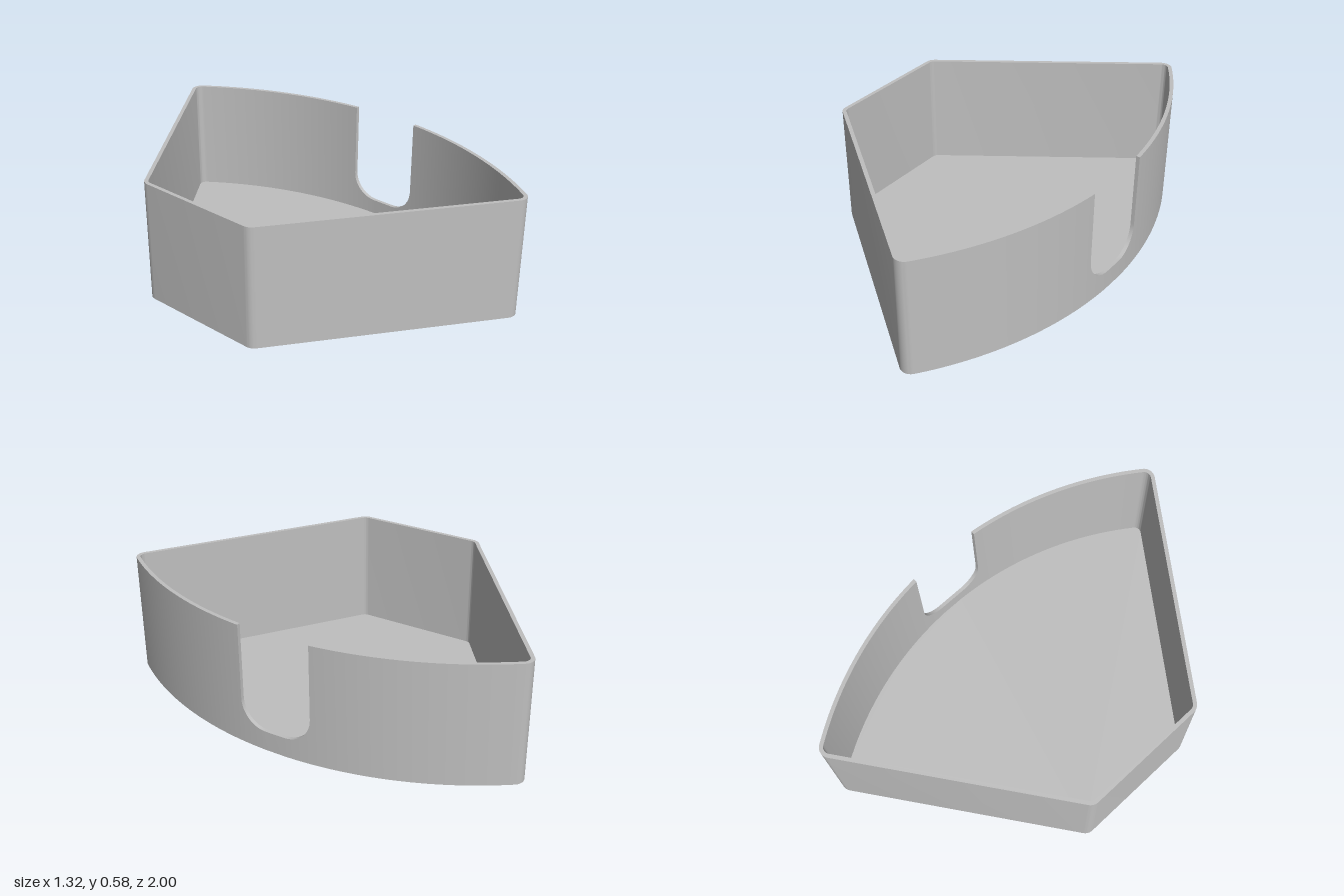
import * as THREE from 'three';
import { toCreasedNormals } from 'three/addons/utils/BufferGeometryUtils.js';

const HEIGHT = 0.576, WALL = 0.018, FLOOR = 0.022;
const FRONT = { x: -1.011, r: 1.669 };                 // large curved side
const NOTCH = { flat: 0.05, radius: 0.125, y: 0.095 }; // U-shaped cut-out

// Stations around the tray: outer and inner [x, z], and the height of the rim there
function buildStations() {
  const stations = [];
  const addNotch = (z, top) => stations.push({
    outer: [FRONT.x + Math.sqrt(FRONT.r ** 2 - z * z), z],
    inner: [FRONT.x + Math.sqrt((FRONT.r - WALL) ** 2 - z * z), z],
    top,
  });
  const addArc = (cx, cz, r, a0, a1, n) => {
    for (let i = 0; i <= n; i++) {
      const a = a0 + (a1 - a0) * i / n, c = Math.cos(a), s = Math.sin(a);
      stations.push({
        outer: [cx + r * c, cz + r * s],
        inner: [cx + (r - WALL) * c, cz + (r - WALL) * s],
        top: HEIGHT,
      });
    }
  };

  // Notch, from its -z edge to its +z edge
  const half = NOTCH.flat + NOTCH.radius, steps = 12;
  addNotch(-half, HEIGHT);
  for (const side of [-1, 1]) {
    for (let i = 0; i <= steps; i++) {
      const a = (side < 0 ? steps - i : i) / steps * Math.PI / 2;
      addNotch(side * (NOTCH.flat + NOTCH.radius * Math.sin(a)),
        NOTCH.y + NOTCH.radius * (1 - Math.cos(a)));
    }
  }
  addNotch(half, HEIGHT);

  // Curved side, four rounded corners, curved side again
  const cornerX = 0.30, cornerZ = 0.95, backX = -0.608, backZ = 0.288, r = 0.05;
  const edge = Math.asin(half / FRONT.r) + 0.01;
  const end = Math.atan2(cornerZ, cornerX - FRONT.x);
  const slant = Math.atan2(cornerZ - backZ, cornerX - backX) + Math.PI / 2;
  const turn = Math.PI * 2;
  addArc(FRONT.x, 0, FRONT.r, edge, end - 0.005, 24);
  addArc(cornerX, cornerZ, r, end, slant, 10);
  addArc(backX, backZ, r, slant, Math.PI, 8);
  addArc(backX, -backZ, r, Math.PI, turn - slant, 8);
  addArc(cornerX, -cornerZ, r, turn - slant, turn - end, 10);
  addArc(FRONT.x, 0, FRONT.r, -end + 0.005, -edge, 24);
  return stations;
}

// Outer face, rim and inner face swept through the stations
function buildWall(stations) {
  const positions = [];
  const section = ({ outer: o, inner: n, top }) => [
    [o[0], 0, o[1]], [o[0], top, o[1]], [n[0], top, n[1]], [n[0], FLOOR, n[1]],
  ];
  stations.forEach((station, i) => {
    const next = stations[(i + 1) % stations.length];
    const a = section(station), b = section(next);
    const step = Math.hypot(a[0][0] - b[0][0], a[0][2] - b[0][2]) < 1e-6;
    for (let k = 0; k < 3; k++) {
      if (step && k !== 1) continue; // only the upright notch edge has area here
      positions.push(...a[k], ...a[k + 1], ...b[k + 1], ...a[k], ...b[k + 1], ...b[k]);
    }
  });
  const geometry = new THREE.BufferGeometry();
  geometry.setAttribute('position', new THREE.Float32BufferAttribute(positions, 3));
  return toCreasedNormals(geometry, Math.PI / 5);
}

// Flat sheet bounded by a loop of [x, z] points, facing up (1) or down (-1)
function buildSheet(loop, facing, y) {
  const shape = new THREE.Shape(loop.map(([x, z]) => new THREE.Vector2(x, -facing * z)));
  return new THREE.ShapeGeometry(shape).rotateX(-facing * Math.PI / 2).translate(0, y, 0);
}

export function createModel() {
  const grey = new THREE.MeshStandardMaterial({ color: 0xbfbfbf });
  grey.name = 'grey plastic';
  const group = new THREE.Group();
  group.name = 'wedgeTray';
  const add = (name, geometry) => {
    const mesh = new THREE.Mesh(geometry, grey);
    mesh.name = name;
    group.add(mesh);
  };

  const stations = buildStations();
  add('wall', buildWall(stations));
  add('floor', buildSheet(stations.map(s => s.inner), 1, FLOOR));
  add('underside', buildSheet(stations.map(s => s.outer), -1, 0));
  return group;
}
